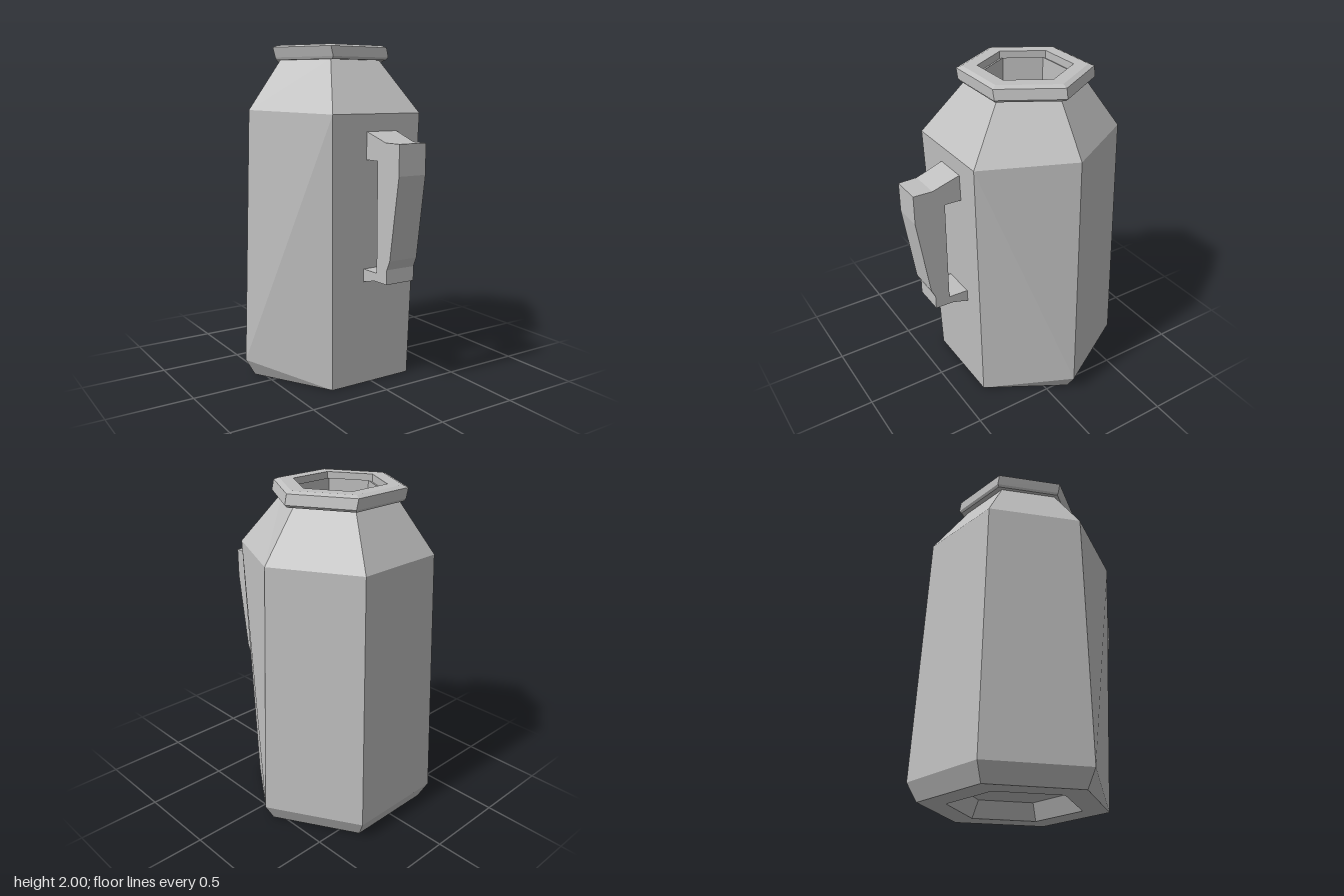
import * as THREE from 'three';

const CZ = -0.135; // the hexagonal axis sits behind the centre, the handle in front

// Hexagon of six points; index 0 is +x, 1 and 2 are the front corners
function ring(r, y, dx = 0) {
  return Array.from({ length: 6 }, (_, k) => {
    const a = k * Math.PI / 3;
    return new THREE.Vector3(dx + r * Math.cos(a), y, CZ + r * Math.sin(a));
  });
}

// Faceted skin through a list of rings, running from the underside upwards
function loft(rings) {
  const pos = [];
  const tri = (p, q, r) => {
    const n = q.clone().sub(p).cross(r.clone().sub(p));
    if (n.length() > 1e-8) for (const v of [p, q, r]) pos.push(v.x, v.y, v.z);
  };
  for (let i = 0; i < rings.length - 1; i++) {
    for (let k = 0; k < 6; k++) {
      const j = (k + 1) % 6;
      const a = rings[i][k], b = rings[i][j], c = rings[i + 1][j], d = rings[i + 1][k];
      // mirrored diagonals on the two front-side panels
      if (k === 0) { tri(b, a, c); tri(a, d, c); }
      else { tri(b, a, d); tri(b, d, c); }
    }
  }
  const g = new THREE.BufferGeometry();
  g.setAttribute('position', new THREE.Float32BufferAttribute(pos, 3));
  g.computeVertexNormals();
  return g;
}

export function createModel() {
  const group = new THREE.Group();
  const grey = new THREE.MeshStandardMaterial({ color: 0xc0c0c0 });
  grey.name = 'light grey';
  const add = (geometry, name) => {
    const mesh = new THREE.Mesh(geometry, grey);
    mesh.name = name;
    group.add(mesh);
  };

  // Body: recessed base, bevelled foot, tapering wall and sloping shoulder
  const foot = ring(0.545, 0);
  const bevel = ring(0.605, 0.105);
  const shoulder = ring(0.55, 1.625);
  for (const k of [1, 2]) {
    bevel[k].copy(foot[k]); // the front panel runs flat to the ground
    shoulder[k].set(k === 1 ? 0.3 : -0.3, 1.608, 0.387);
  }
  add(loft([ring(0, 0.1), ring(0.33, 0.1), ring(0.385, 0), foot, bevel,
    shoulder, ring(0.335, 1.92)]), 'body');

  // Rim with a bevelled inner lip and the hollow neck
  add(loft([ring(0.3, 1.915), ring(0.375, 1.915, 0.01), ring(0.387, 1.93, 0.015),
    ring(0.388, 1.988), ring(0.355, 2), ring(0.27, 2), ring(0.27, 1.955),
    ring(0.235, 1.97), ring(0.235, 1.6), ring(0, 1.6)]), 'rim');

  // Handle: side profile in (z, y), extruded across the width
  const profile = [[0.34, 1.523], [0.38, 1.51], [0.55, 1.455], [0.665, 1.455], [0.665, 1.28],
    [0.595, 0.8], [0.57, 0.745], [0.57, 0.66], [0.46, 0.66], [0.355, 0.632], [0.32, 0.625],
    [0.32, 0.71], [0.48, 0.71], [0.48, 1.35], [0.34, 1.35]];
  const handle = new THREE.ExtrudeGeometry(
    new THREE.Shape(profile.map(([z, y]) => new THREE.Vector2(-z, y))),
    { depth: 1, bevelEnabled: false });
  handle.rotateY(Math.PI / 2); // shape x becomes z, depth becomes x
  const p = handle.attributes.position;
  for (let i = 0; i < p.count; i++) {
    const out = p.getZ(i) - 0.38; // the grip narrows slightly outwards
    p.setX(i, p.getX(i) < 0.5 ? -0.07 + 0.05 * out : 0.135 - 0.03 * out);
  }
  handle.computeVertexNormals();
  add(handle, 'handle');

  return group;
}
